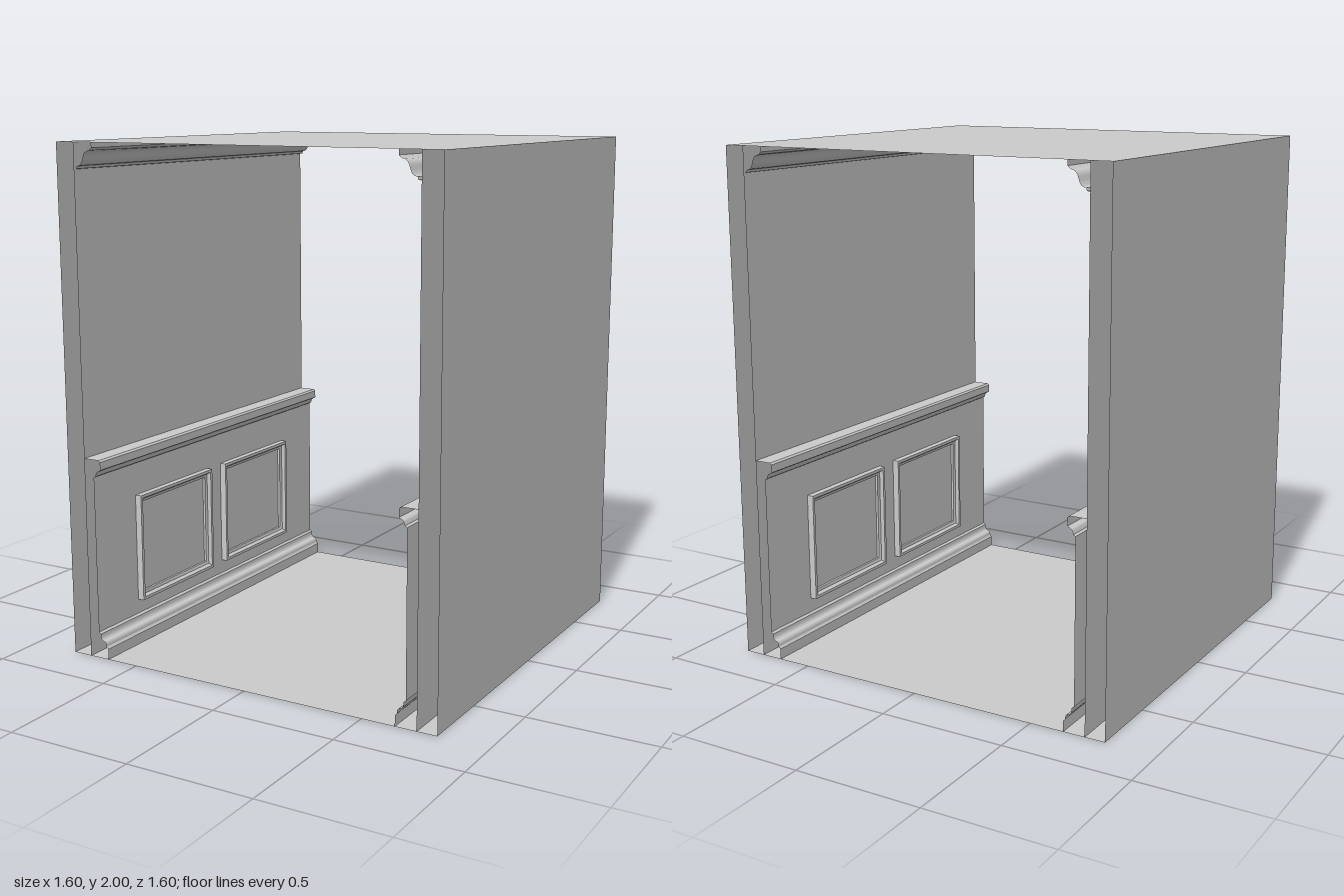
import * as THREE from 'three';
import { toCreasedNormals } from 'three/addons/utils/BufferGeometryUtils.js';

const HALF = 0.8;      // half width and half length of the corridor
const HEIGHT = 2;
const WALL = 0.72;     // inner wall face
const PANEL = 0.677;   // wainscot face

const material = new THREE.MeshStandardMaterial({ color: 0xcccccc, side: THREE.DoubleSide });

function addMesh(parent, name, geometry) {
  const mesh = new THREE.Mesh(geometry, material);
  mesh.name = name;
  parent.add(mesh);
  return mesh;
}

// Skin a list of equal-length rings of [x, y, z] points
function skin(rings, closed) {
  const pos = [], index = [], n = rings[0].length;
  rings.forEach(r => r.forEach(p => pos.push(...p)));
  for (let i = 0; i < rings.length - 1; i++) {
    for (let j = 0; j < (closed ? n : n - 1); j++) {
      const a = i * n + j, b = i * n + (j + 1) % n;
      index.push(a, b, b + n, a, b + n, a + n);
    }
  }
  const g = new THREE.BufferGeometry();
  g.setAttribute('position', new THREE.Float32BufferAttribute(pos, 3));
  g.setIndex(index);
  return toCreasedNormals(g, 0.6);
}

// Open sheet: an x/y profile drawn out along the whole length
function strip(profile) {
  return skin([HALF, -HALF].map(z => profile.map(p => [p.x, p.y, z])), false);
}

// Rectangular picture-frame moulding standing on the wainscot
function frame(z0, z1, y0, y1) {
  const section = [[0, 0], [0, 0.027], [0.012, 0.027], [0.02, 0.014], [0.032, 0.01], [0.032, 0]];
  return skin(section.map(([inset, h]) => [
    [PANEL - h, y0 + inset, z0 + inset], [PANEL - h, y1 - inset, z0 + inset],
    [PANEL - h, y1 - inset, z1 - inset], [PANEL - h, y0 + inset, z1 - inset],
  ]), true);
}

function createSide() {
  const side = new THREE.Group();
  const line = (...pts) => pts.map(([x, y]) => new THREE.Vector2(x, y));

  // Outer and inner wall sheets
  addMesh(side, 'outerWall', strip(line([HALF, 0], [HALF, HEIGHT])));
  addMesh(side, 'innerWall', strip(line([WALL, 0], [WALL, HEIGHT])));

  // Baseboard: upright foot, then an ogee up to the wainscot
  const ogee = new THREE.CubicBezierCurve(...line([0.642, 0.05], [0.642, 0.09], [0.668, 0.05], [0.668, 0.098]));
  addMesh(side, 'baseboard', strip([
    ...line([0.634, 0], [0.634, 0.042], [0.642, 0.05]),
    ...ogee.getPoints(10).slice(1), ...line([PANEL, 0.105])]));

  // Wainscot sheet
  addMesh(side, 'wainscot', strip(line([PANEL, 0.105], [PANEL, 0.73])));

  // Chair rail: cove below, flat nose, flat top back to the wall
  const cove = new THREE.QuadraticBezierCurve(...line([0.668, 0.735], [0.665, 0.757], [0.65, 0.758]));
  addMesh(side, 'chairRail', strip([
    ...line([PANEL, 0.73], [0.668, 0.735]), ...cove.getPoints(6).slice(1),
    ...line([0.645, 0.762], [0.645, 0.793], [0.652, 0.8], [WALL, 0.8])]));

  // Crown moulding: ogee from the wall out to the ceiling
  const crown = new THREE.CubicBezierCurve(...line([0.705, 1.912], [0.665, 1.915], [0.69, 1.965], [0.648, 1.97]));
  addMesh(side, 'crownMoulding', strip([
    ...line([WALL, 1.9], [0.708, 1.902]), ...crown.getPoints(12),
    ...line([0.636, 1.98], [0.636, HEIGHT])]));

  // Two framed panels
  for (const z of [-0.298, 0.298]) {
    addMesh(side, 'panelFrame', frame(z - 0.248, z + 0.248, 0.163, 0.6));
  }
  return side;
}

export function createModel() {
  const model = new THREE.Group();
  model.name = 'corridorSection';

  // Floor and ceiling sheets
  for (const [name, y] of [['floor', 0], ['ceiling', HEIGHT]]) {
    const g = new THREE.PlaneGeometry(2 * HALF, 2 * HALF).rotateX(y ? Math.PI / 2 : -Math.PI / 2);
    addMesh(model, name, g).position.y = y;
  }

  // Two matching sides, turned to face each other
  ['leftSide', 'rightSide'].forEach((name, i) => {
    const side = createSide();
    side.name = name;
    side.rotation.y = i * Math.PI;
    model.add(side);
  });
  return model;
}
